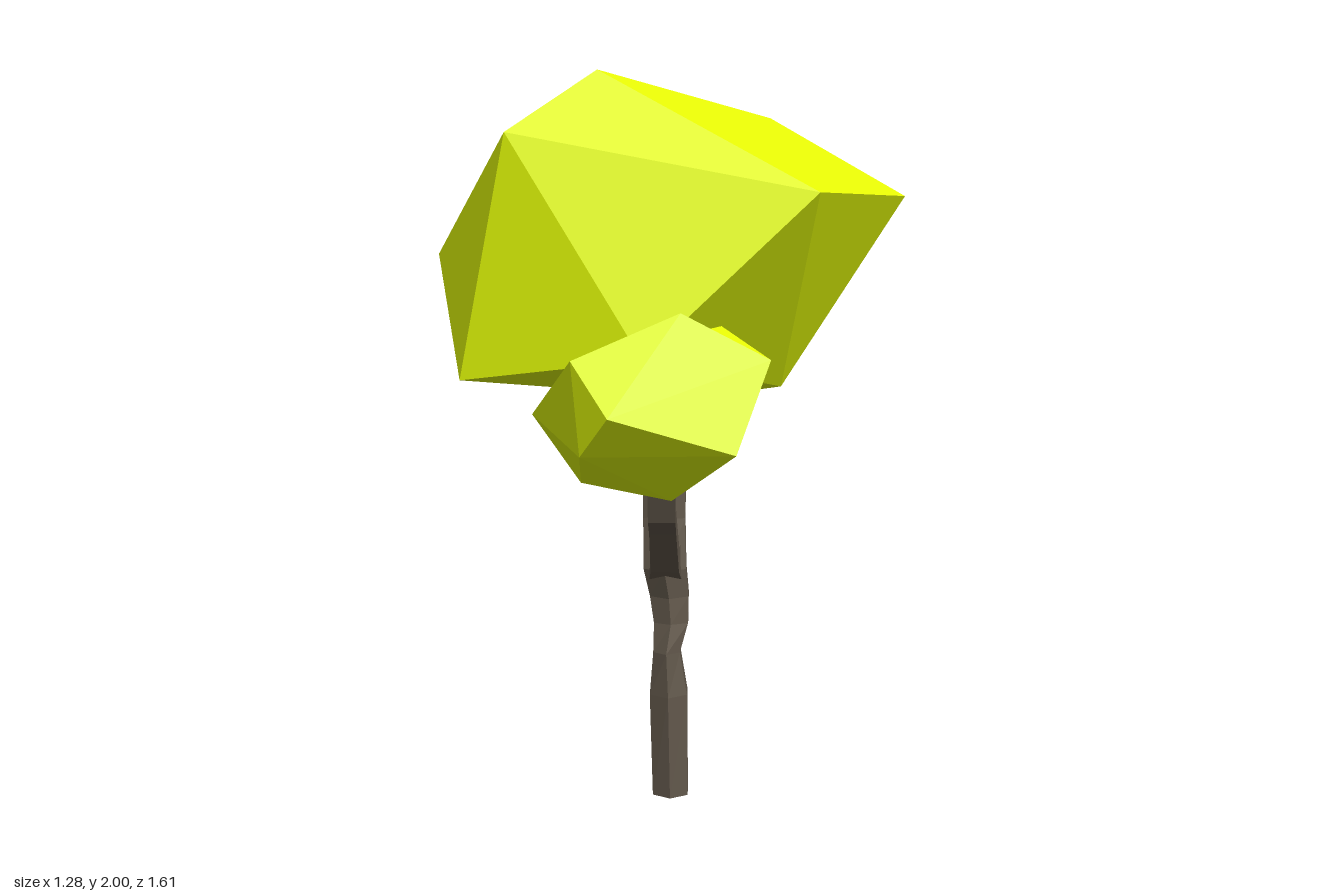
import * as THREE from 'three';
import { ConvexGeometry } from 'three/addons/geometries/ConvexGeometry.js';

const leaf = new THREE.MeshStandardMaterial({ color: 0xe6ff06, flatShading: true });
const bark = new THREE.MeshStandardMaterial({ color: 0x645a4d, flatShading: true });

// Faceted foliage: one hull per list of corner points, hulls overlap to leave creases
function clump(name, hulls) {
  const group = new THREE.Group();
  group.name = name;
  for (const [part, points] of Object.entries(hulls)) {
    const mesh = new THREE.Mesh(new ConvexGeometry(points.map(p => new THREE.Vector3(...p))), leaf);
    mesh.name = part;
    group.add(mesh);
  }
  return group;
}

// Closed limb through rings [x, y, z, radius across x, radius in the yz plane]
function limb(name, rings, sides) {
  const pos = [], index = [], last = rings.length - 1;
  rings.forEach(([x, y, z, rx, rv], i) => {
    const a = rings[Math.max(i - 1, 0)], b = rings[Math.min(i + 1, last)];
    const t = new THREE.Vector2(b[1] - a[1], b[2] - a[2]).normalize();
    for (let j = 0; j < sides; j++) {
      const ang = ((j + 0.5) / sides) * Math.PI * 2;
      const s = Math.sin(ang) * rv;
      pos.push(x + Math.cos(ang) * rx, y - t.y * s, z + t.x * s);
    }
  });
  const bottom = pos.length / 3, top = bottom + 1;
  pos.push(...rings[0].slice(0, 3), ...rings[last].slice(0, 3));
  for (let j = 0; j < sides; j++) {
    const k = (j + 1) % sides;
    for (let i = 0; i < last; i++) {
      const a = i * sides + j, b = i * sides + k;
      index.push(a, a + sides, b, b, a + sides, b + sides);
    }
    index.push(bottom, j, k, top, last * sides + k, last * sides + j);
  }
  const geo = new THREE.BufferGeometry();
  geo.setAttribute('position', new THREE.Float32BufferAttribute(pos, 3));
  geo.setIndex(index);
  geo.computeVertexNormals();
  const mesh = new THREE.Mesh(geo, bark);
  mesh.name = name;
  return mesh;
}

export function createModel() {
  const tree = new THREE.Group();
  tree.name = 'tree';

  // Knobbly trunk
  tree.add(limb('trunk', [
    [0.013, 0, 0.025, 0.057, 0.055],
    [0.008, 0.3, 0.035, 0.06, 0.067],
    [0.003, 0.42, 0.035, 0.043, 0.067],
    [0.015, 0.5, 0.025, 0.055, 0.055],
    [0.01, 0.58, 0.025, 0.062, 0.055],
    [-0.002, 0.66, 0.035, 0.068, 0.065],
    [-0.004, 0.8, 0.026, 0.067, 0.057],
    [-0.004, 1.0, 0.025, 0.07, 0.058],
    [0, 1.2, 0.025, 0.07, 0.058],
  ], 6));

  // Crooked branches, thicker where they leave the trunk
  tree.add(limb('frontBranch', [
    [0, 0.68, 0.04, 0.065, 0.085],
    [0, 0.695, 0.11, 0.055, 0.05],
    [0, 0.83, 0.285, 0.05, 0.04],
    [0, 0.87, 0.355, 0.05, 0.042],
    [0, 1.08, 0.45, 0.048, 0.036],
  ], 4));
  tree.add(limb('backBranch', [
    [0, 1.0, 0.02, 0.06, 0.08],
    [0, 1.09, -0.07, 0.055, 0.05],
    [-0.01, 1.14, -0.2, 0.052, 0.042],
    [-0.02, 1.1, -0.305, 0.052, 0.042],
    [-0.03, 1.13, -0.365, 0.052, 0.042],
    [-0.03, 1.25, -0.43, 0.05, 0.036],
  ], 4));

  // Main crown: a large body plus two low caps, leaving creases at the back
  const peak = [-0.17, 2, 0.215], backTop = [0.29, 1.9, -0.3];
  const shoulder = [-0.4, 1.84, 0.305], side = [-0.64, 1.52, -0.1];
  const leftTip = [0.64, 1.68, 0.045], frontTip = [0.385, 1.69, 0.515], backTip = [-0.07, 1.62, -0.415];
  tree.add(clump('mainCrown', {
    crownBody: [
      peak, shoulder, side, leftTip, frontTip, backTip,
      [0.35, 1.49, -0.335], [-0.27, 1.43, -0.385], [-0.525, 1.21, 0.3], [0.31, 1.18, 0.155],
      [-0.4, 1.18, -0.16], [-0.04, 1.29, 0.565], [0.09, 1.125, -0.035],
    ],
    backCap: [peak, backTop, side, leftTip, frontTip, backTip],
    rightCap: [peak, backTop, shoulder, side, [-0.27, 1.9, -0.24]],
  }));

  // Front clump: body with a pointed ridge in front of a shallow notch
  const left = [0.265, 1.305, 0.69], right = [-0.315, 1.15, 0.5];
  const brow = [-0.2, 1.305, 0.73], nose = [-0.11, 1.18, 0.805];
  tree.add(clump('frontClump', {
    clumpBody: [
      left, right, brow, nose,
      [0.185, 1.09, 0.76], [0.03, 0.945, 0.555], [-0.2, 0.97, 0.45], [-0.18, 1.08, 0.73],
      [0.15, 1.37, 0.52], [0.07, 1.36, 0.66], [0.05, 1.16, 0.365], [0.19, 1.14, 0.47],
    ],
    clumpRidge: [left, right, brow, nose, [0.055, 1.415, 0.71]],
  }));

  // Back clump: wide cap over a narrower underside
  tree.add(clump('backClump', {
    clumpCap: [
      [0, 1.66, -0.605], [-0.125, 1.645, -0.5], [0.05, 1.63, -0.4], [-0.045, 1.495, -0.805],
      [0.2, 1.4, -0.75], [0.285, 1.47, -0.47], [-0.285, 1.43, -0.7], [-0.315, 1.45, -0.44],
      [0.2, 1.5, -0.36], [-0.18, 1.57, -0.32], [0.1, 1.37, -0.47], [0, 1.39, -0.73],
      [-0.1, 1.4, -0.31],
    ],
    clumpUnderside: [
      [0.17, 1.41, -0.73], [-0.2, 1.43, -0.7], [0.08, 1.45, -0.4], [-0.22, 1.44, -0.42],
      [-0.08, 1.295, -0.8], [-0.26, 1.26, -0.63], [0.08, 1.23, -0.6], [-0.05, 1.23, -0.42],
      [0, 1.31, -0.35], [-0.12, 1.31, -0.34],
    ],
  }));

  return tree;
}
